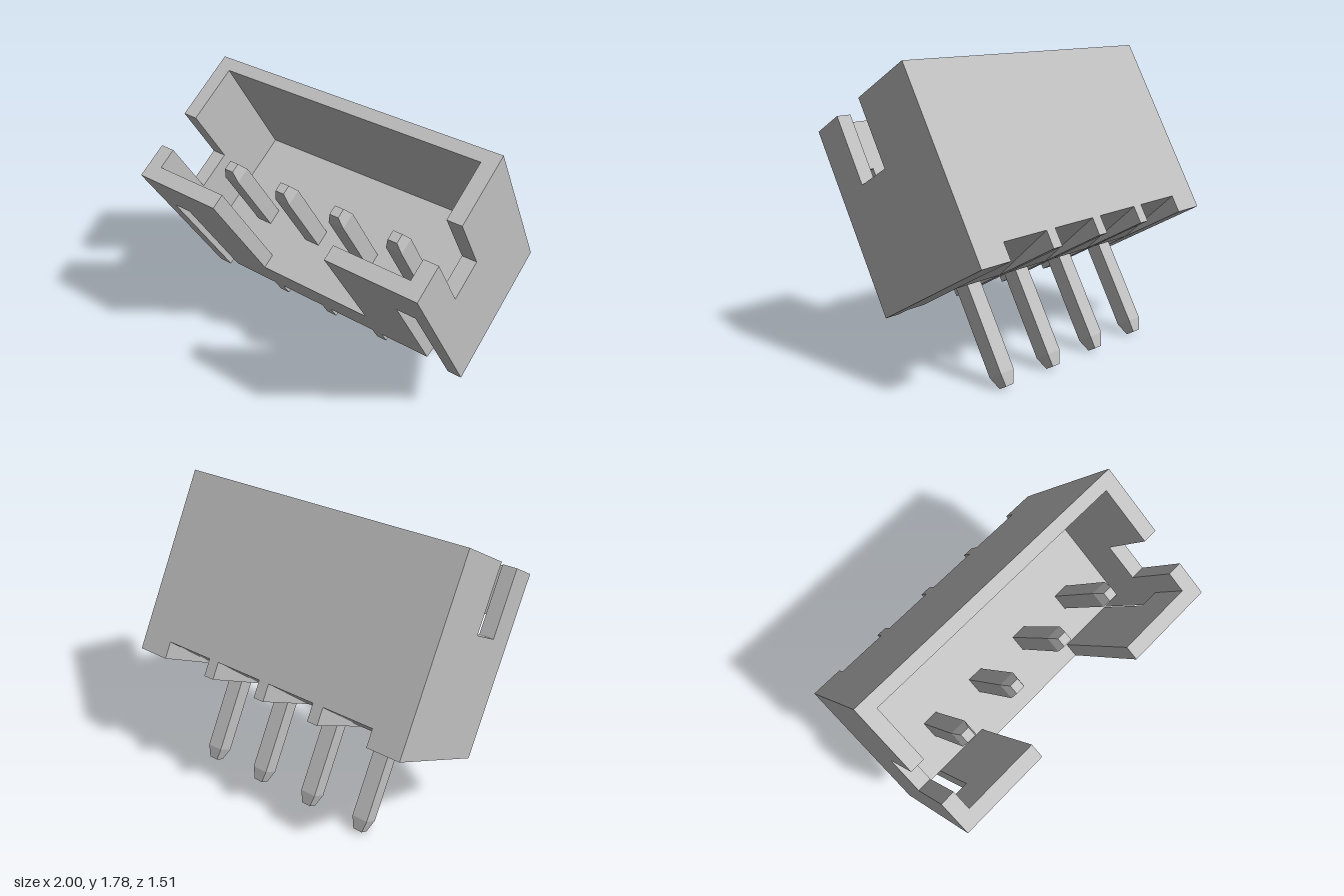
import * as THREE from 'three';

export function createModel() {
  const grey = new THREE.MeshStandardMaterial({ color: 0xc0c0c0 });
  grey.name = 'grey';

  const model = new THREE.Group();
  model.name = 'pinHeader';
  // Tilted frame: x along the row, y up the pins, z from back wall to front wall
  const body = new THREE.Group();
  body.name = 'tiltedBody';
  body.rotation.set(Math.PI / 6, THREE.MathUtils.degToRad(5.5), 0, 'YXZ');
  body.position.set(-0.065, 0.8, -0.665);
  model.add(body);

  const W = 0.94, IN = 0.85, SLOT = 0.735, GAP = 0.38;
  const H = 1.13, D = 0.885, FLOOR = 0.36, FRONT = 0.795, BACK = 0.077;

  function add(name, geometry) {
    const mesh = new THREE.Mesh(geometry, grey);
    mesh.name = name;
    body.add(mesh);
    return mesh;
  }
  // Side profile of [z, y] points swept from x0 to x1
  function slab(name, pts, x0, x1) {
    const shape = new THREE.Shape(pts.map(p => new THREE.Vector2(p[0], p[1])));
    const g = new THREE.ExtrudeGeometry(shape, { depth: x1 - x0, bevelEnabled: false });
    g.rotateY(-Math.PI / 2);
    g.translate(x1, 0, 0);
    return add(name, g);
  }
  const rect = (z0, y0, z1, y1) => [[z0, y0], [z1, y0], [z1, y1], [z0, y1]];
  // Same slab on both sides
  function pair(name, pts, x0, x1) {
    slab(name + 'Left', pts, x0, x1);
    slab(name + 'Right', pts, -x1, -x0);
  }

  // Side walls with a notch in the rim
  pair('sideWall', [[0, 0], [D, 0], [D, H], [0.67, H], [0.67, 0.715],
    [0.435, 0.715], [0.435, H], [0, H]], IN, W);

  // Back wall
  slab('backWall', rect(0, FLOOR, BACK, H), -IN, IN);

  // Front wall panels beside the central gap, and bridges over the slots
  pair('frontPanel', rect(FRONT, FLOOR, D, H), GAP, SLOT);
  pair('slotBridge', rect(FRONT, 0.834, D, H), SLOT, IN);

  // Base: end blocks, ribs, and bays whose underside slopes up to both edges
  pair('baseEnd', rect(0, 0, FRONT, FLOOR), SLOT, IN);
  const bay = [[0, 0.105], [0.47, 0], [D, 0.105], [D, FLOOR], [0, FLOOR]];
  const rib = 0.034;
  let start = -SLOT;
  for (const x of [-0.38, 0, 0.38]) {
    slab('baseBay', bay, start, x - rib);
    slab('baseRib', rect(0, 0, D, FLOOR), x - rib, x + rib);
    start = x + rib;
  }
  slab('baseBay', bay, start, SLOT);

  // Square pins with tapered ends
  const side = 0.1, low = -0.583, high = 0.957, taper = 0.075;
  for (let i = 0; i < 4; i++) {
    const g = new THREE.BoxGeometry(side, high - low, side, 1, 3, 1);
    const p = g.attributes.position;
    const half = (high - low) / 2;
    for (let k = 0; k < p.count; k++) {
      const y = p.getY(k);
      if (Math.abs(y) > half - 0.01) {
        p.setX(k, p.getX(k) * 0.58);
        p.setZ(k, p.getZ(k) * 0.58);
      } else p.setY(k, Math.sign(y) * (half - taper));
    }
    const flat = g.toNonIndexed();
    flat.computeVertexNormals();
    add('pin', flat).position.set((i - 1.5) * 0.38, (high + low) / 2, 0.565);
  }
  return model;
}
